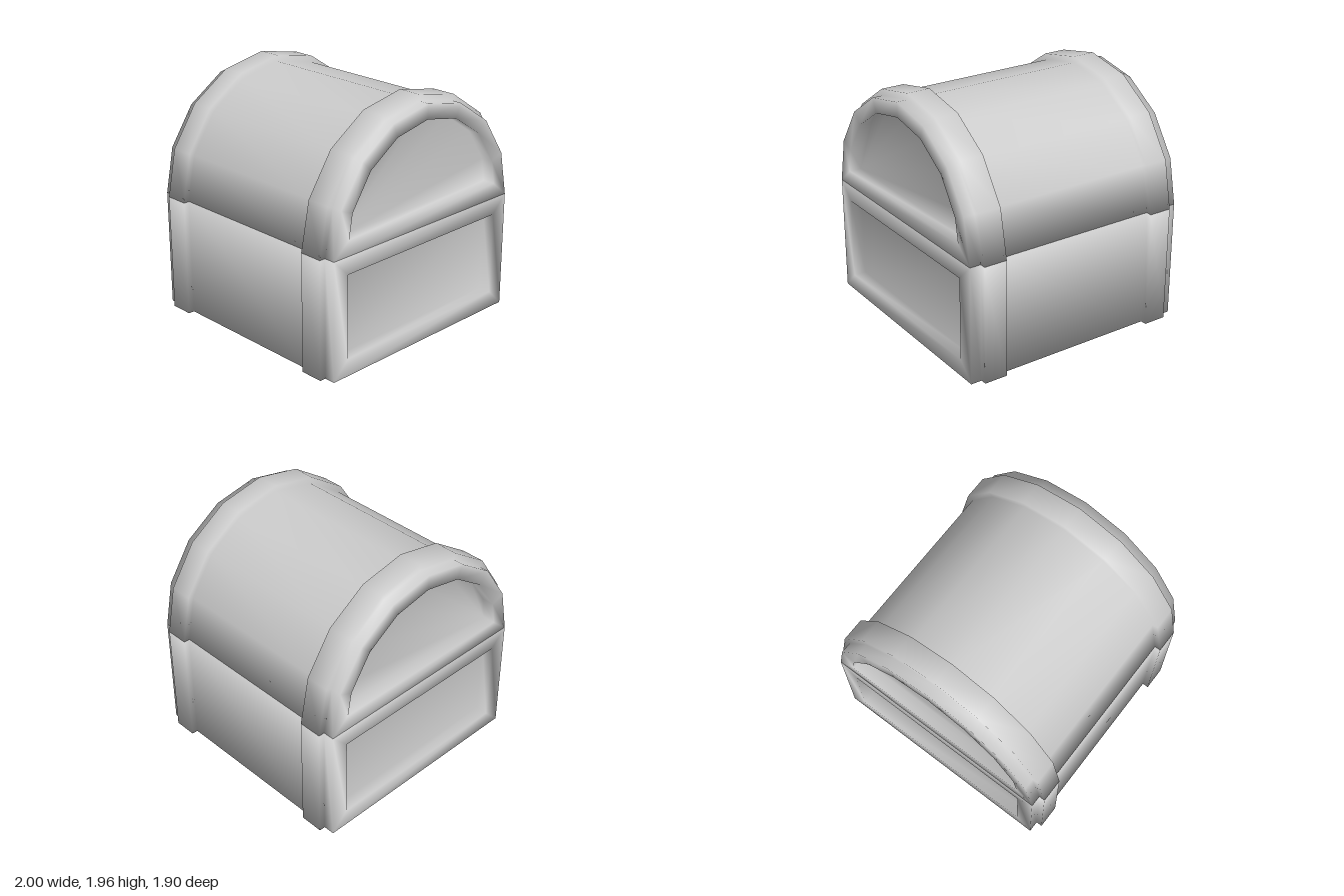
import * as THREE from 'three';

const SPLIT = 0.955; // height where lid meets base

// Rectangular base section, counter-clockwise seen from the front
const rect = (w, bottom, top) => [[-w, bottom], [w, bottom], [w, top], [-w, top]];

// Half-round lid section in eight segments, with its foot corners given separately
function arch(r, footX = r, footY = SPLIT) {
  const pts = [[-footX, footY], [footX, footY]];
  for (let i = 1; i < 8; i++) {
    const a = (i * Math.PI) / 8;
    pts.push([r * Math.cos(a), SPLIT + r * Math.sin(a)]);
  }
  return pts;
}

// Lofts closed sections front to back with shared vertices, so shading is smooth
function loft(rings) {
  const n = rings[0].pts.length;
  const pos = [];
  const index = [];
  for (const { pts, z } of rings) for (const [x, y] of pts) pos.push(x, y, z);
  for (let k = 0; k < rings.length - 1; k++) {
    for (let i = 0; i < n; i++) {
      const j = (i + 1) % n;
      const a = k * n + i, b = k * n + j, c = a + n, d = b + n;
      index.push(a, c, b, b, c, d);
    }
  }
  // Recessed end panels
  const last = (rings.length - 1) * n;
  for (let i = 1; i < n - 1; i++) {
    index.push(0, i, i + 1);
    index.push(last, last + i + 1, last + i);
  }
  const g = new THREE.BufferGeometry();
  g.setAttribute('position', new THREE.Float32BufferAttribute(pos, 3));
  g.setIndex(index);
  g.computeVertexNormals();
  return g;
}

// Half of the chest shell: recessed panel, rim, end, raised band, then mirrored in z
function shell(inner, body, band) {
  const half = [
    { pts: inner, z: 0.85 },
    { pts: inner, z: 0.95 },
    { pts: body, z: 0.95 },
    { pts: body, z: 0.86 },
    { pts: band, z: 0.86 },
    { pts: band, z: 0.67 },
    { pts: body, z: 0.67 },
  ];
  const back = half.map(({ pts, z }) => ({ pts, z: -z })).reverse();
  return loft([...half, ...back]);
}

export function createModel() {
  const group = new THREE.Group();
  group.name = 'chest';
  const material = new THREE.MeshStandardMaterial({ color: 0xcccccc });
  const add = (name, geometry) => {
    const mesh = new THREE.Mesh(geometry, material);
    mesh.name = name;
    group.add(mesh);
  };

  // Box-shaped base with two raised bands
  add('base', shell(rect(0.81, 0.14, 0.815), rect(0.95, 0, SPLIT), rect(1, 0, SPLIT)));

  // Barrel lid with matching bands
  add('lid', shell(arch(0.83, 0.8, 1.08), arch(0.95), arch(1)));

  return group;
}
